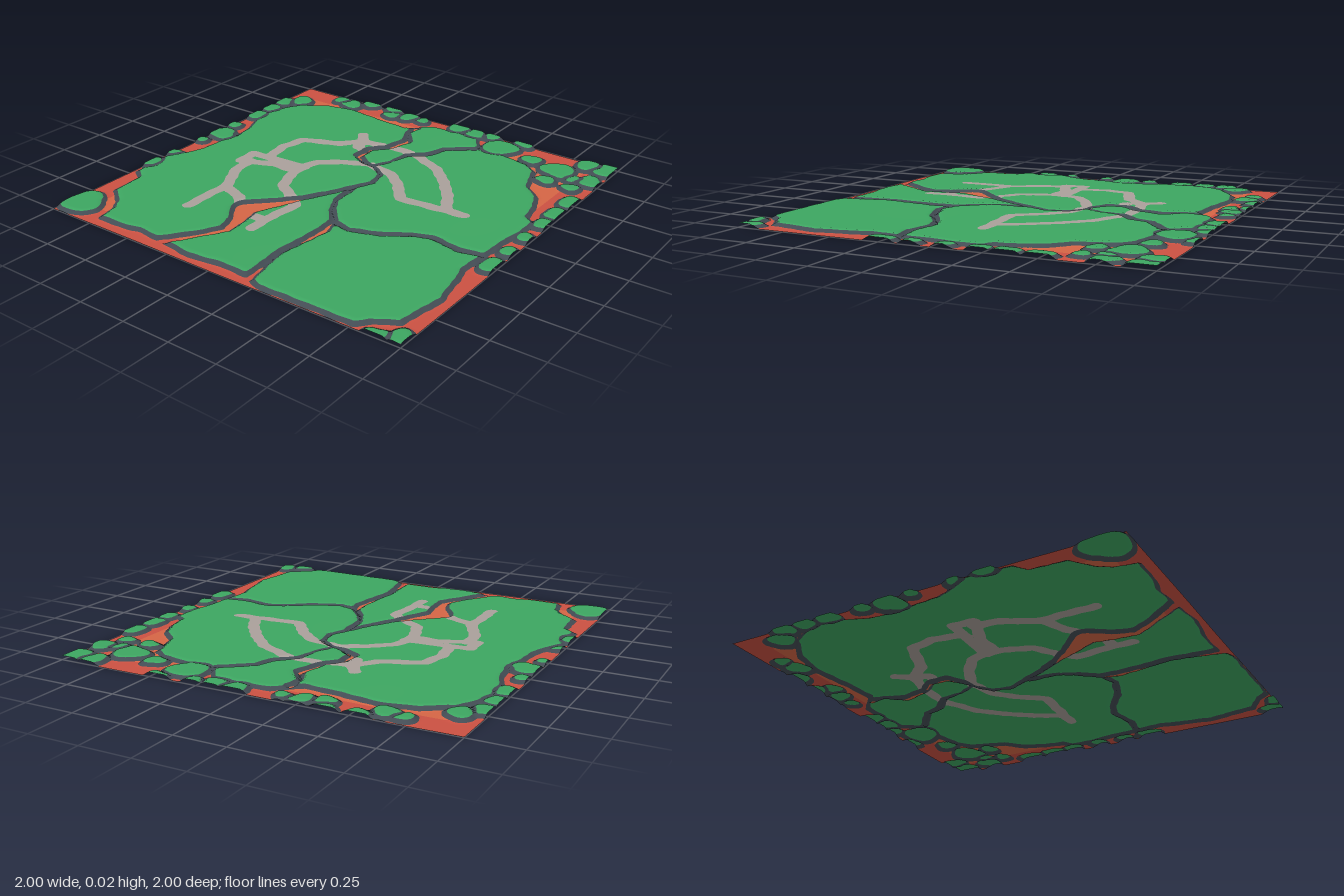
import * as THREE from 'three';
import { mergeVertices } from 'three/addons/utils/BufferGeometryUtils.js';

const RIM = 0.022;   // width of the dark rock edge around each slab
const GRID = 180;

// Outline of the large grass slab, x/z pairs
const slab = [
  -.85, -.73, -.72, -.815, -.56, -.845, -.37, -.815, -.18, -.8, -.12, -.85, -.07, -.9, .09, -.91, .22, -.895,
  .28, -.8, .46, -.79, .59, -.76, .66, -.71, .68, -.64, .72, -.53, .81, -.45, .85, -.34, .87, -.24, .92, -.2,
  .92, -.08, .9, .05, .89, .2, .88, .35, .9, .42, .92, .54, .94, .62, .91, .78, .9, .86, .8, .92, .76, .975,
  .27, .975, .17, .93, .02, .925, -.15, .95, -.33, .925, -.5, .91, -.58, .93, -.73, .93, -.75, .83, -.8, .76,
  -.89, .69, -.9, .51, -.96, .47, -.975, .2, -.92, .17, -.89, .08, -.88, -.05, -.85, -.16, -.88, -.32,
  -.92, -.42, -.93, -.55, -.9, -.65];

// Cracks through the slab: x, z, half width
const cracks = [
  [-.13, -.84, .03, -.13, -.76, .014, -.07, -.66, .032, -.11, -.52, .026, -.17, -.45, .026, -.17, -.35, .03,
    -.1, -.3, .02, -.02, -.28, .01, .06, -.22, .014, .08, -.12, .014, .04, -.04, .017, .03, 0, .02],
  [.28, -.78, .022, .15, -.68, .02, .12, -.58, .024, .03, -.5, .018, .01, -.38, .01, -.03, -.3, .012],
  [.03, -.02, .018, -.02, .1, .02, -.09, .22, .025, -.16, .33, .045, -.25, .46, .075, -.2, .58, .048,
    -.18, .68, .036, -.25, .8, .032, -.35, .95, .04],
  [.04, 0, .02, .05, .14, .015, .1, .24, .018, .17, .32, .022, .19, .42, .032, .18, .55, .026,
    .16, .7, .022, .17, .8, .022, .19, .96, .034],
  [.17, .33, .018, .28, .36, .018, .42, .31, .02, .55, .22, .018, .63, .19, .018, .78, .22, .02, .91, .2, .02]];

// Small islands around the border: x, z, radius
const islands = [
  [-.9, -.79, .06, -.98, -.72, .06, -.98, -.6, .055, -.98, -.47, .06, -.72, -.94, .04, -.63, -.92, .055,
    -.53, -.99, .05, -.35, -.92, .045, -.25, -.95, .05, -.16, -.95, .035, -.38, -1, .05],
  [.07, -.98, .06, .18, -.97, .06, .27, -.98, .045, .38, -.87, .095, .46, -1, .05, .59, -.84, .05,
    .76, -.8, .085, .76, -.66, .045, .9, -.65, .04, .97, -.95, .08, .86, -.95, .06, .95, -.77, .06, .87, -.75, .04],
  [.98, -.5, .06, .98, -.35, .06, .98, -.23, .05, .97, -.06, .04, .97, .1, .04, .98, .25, .06, .97, .95, .05,
    .88, 1, .05, -.95, -.15, .07, -.98, -.28, .04, -.98, -.02, .03, -.98, .2, .04, -.98, .35, .06, -.92, .88, .1]];

// Worn paths on the grass, x/z pairs
const paths = [
  [-.3, -.57, -.25, -.5, -.33, -.4, -.4, -.37, -.52, -.32, -.55, -.2, -.53, -.06],
  [-.25, -.5, -.23, -.42, -.2, -.42],
  [-.25, -.5, -.1, -.525, 0, -.53, .08, -.52, .25, -.44, .37, -.33, .47, -.2, .54, -.07],
  [.64, -.07, .3, -.04, .2, -.17, .1, -.25, -.05, -.28, -.18, -.22, -.28, -.14, -.31, -.05, -.3, .05,
    -.25, .18, -.12, .27, -.06, .32, -.08, .45, -.08, .62],
  [-.3, -.05, -.62, -.03, -.62, .08, -.45, .01, -.31, .01],
  [-.57, .05, -.57, .17, -.48, .34, -.48, .62],
  [-.48, .35, -.35, .4, -.25, .5],
  [-.18, .52, -.08, .52]];

// Distance from a point to a segment, and the position along it
function toSegment(x, z, ax, az, bx, bz) {
  const dx = bx - ax, dz = bz - az;
  const t = Math.min(1, Math.max(0, ((x - ax) * dx + (z - az) * dz) / (dx * dx + dz * dz)));
  return [Math.hypot(x - ax - t * dx, z - az - t * dz), t];
}

// Signed distance to the slab outline, positive inside
function slabField(x, z) {
  let inside = false, best = 9;
  for (let i = 0, n = slab.length; i < n; i += 2) {
    const ax = slab[i], az = slab[i + 1], bx = slab[(i + 2) % n], bz = slab[(i + 3) % n];
    best = Math.min(best, toSegment(x, z, ax, az, bx, bz)[0]);
    if ((az > z) !== (bz > z) && x < ax + (z - az) / (bz - az) * (bx - ax)) inside = !inside;
  }
  return inside ? best : -best;
}

// Positive on grass, negative in the gaps
function grassField(x, z) {
  let best = slabField(x, z), second = -9;
  for (const set of islands) for (let i = 0; i < set.length; i += 3) {
    const dx = x - set[i], dz = z - set[i + 1], a = Math.atan2(dz, dx), k = set[i] * 40;
    const d = set[i + 2] * (1 + .1 * Math.sin(3 * a + k) + .08 * Math.sin(2 * a - k)) - Math.hypot(dx, dz);
    if (d > best) { second = best; best = d; } else second = Math.max(second, d);
  }
  let d = Math.min(best, (best - second) / 2 - .01);
  for (const c of cracks) for (let i = 0; i + 5 < c.length; i += 3) {
    const [dist, t] = toSegment(x, z, c[i], c[i + 1], c[i + 3], c[i + 4]);
    d = Math.min(d, dist - c[i + 2] * (1 - t) - c[i + 5] * t);
  }
  return d + .003 * Math.sin(x * 47 + 2 * Math.sin(z * 31)) * Math.sin(z * 43 + x * 9);
}

// Positive on the worn paths
function pathField(x, z) {
  let d = 9;
  for (const p of paths) for (let i = 0; i + 3 < p.length; i += 2)
    d = Math.min(d, toSegment(x, z, p[i], p[i + 1], p[i + 2], p[i + 3])[0]);
  return .029 - d + .004 * Math.sin(x * 50 + z * 20) * Math.sin(z * 45);
}

// Cut a polygon where a field crosses a level: [above, below]
function split(poly, key, level) {
  const above = [], below = [];
  poly.forEach((a, i) => {
    const b = poly[(i + 1) % poly.length], fa = a[key] - level, fb = b[key] - level;
    (fa >= 0 ? above : below).push(a);
    if ((fa >= 0) !== (fb >= 0)) {
      const t = fa / (fa - fb), v = {};
      for (const k in a) v[k] = a[k] + (b[k] - a[k]) * t;
      above.push(v); below.push(v);
    }
  });
  return [above, below];
}

export function createModel() {
  const group = new THREE.Group();
  group.name = 'crackedGround';
  const colors = { grass: 0x3da661, path: 0xaaa09b, rockRim: 0x434c54, lavaFloor: 0xcb5142, lavaGlow: 0xd56545 };
  const parts = Object.fromEntries(Object.keys(colors).map(k => [k, []]));

  const add = (name, poly) => {
    for (let i = 2; i < poly.length; i++)
      for (const v of [poly[0], poly[i - 1], poly[i]]) parts[name].push(v.x, v.y, v.z);
  };

  // Height field samples
  const point = (i, j) => {
    const x = -1 + 2 * i / GRID, z = -1 + 2 * j / GRID, d = grassField(x, z);
    const y = .004 + .02 * THREE.MathUtils.smoothstep(d, -.03, .012)
      + .002 * (1 + Math.sin(x * 5 + 1) * Math.sin(z * 4));
    return { x, y, z, d, p: pathField(x, z), e: Math.max(Math.abs(x), Math.abs(z)) };
  };
  const grid = [];
  for (let i = 0; i <= GRID; i++) {
    grid.push([]);
    for (let j = 0; j <= GRID; j++) grid[i].push(point(i, j));
  }

  // Sort every triangle into grass, path, rim and lava
  for (let i = 0; i < GRID; i++) for (let j = 0; j < GRID; j++) {
    const a = grid[i][j], b = grid[i][j + 1], c = grid[i + 1][j + 1], d = grid[i + 1][j];
    for (const tri of [[a, b, d], [b, c, d]]) {
      const [top, gap] = split(tri, 'd', 0);
      const [worn, green] = split(top, 'p', 0);
      const [rim, lava] = split(gap, 'd', -RIM);
      const [outer, inner] = split(lava, 'e', .87);
      add('path', worn);
      add('grass', green);
      add('rockRim', rim);
      add('lavaFloor', outer);
      add('lavaGlow', inner);
    }
  }

  for (const [name, color] of Object.entries(colors)) {
    let geo = new THREE.BufferGeometry();
    geo.setAttribute('position', new THREE.Float32BufferAttribute(parts[name], 3));
    geo = mergeVertices(geo, 1e-5);
    geo.computeVertexNormals();
    const material = new THREE.MeshStandardMaterial({ color, side: THREE.DoubleSide });
    material.name = name;
    const mesh = new THREE.Mesh(geo, material);
    mesh.name = name;
    group.add(mesh);
  }
  return group;
}
